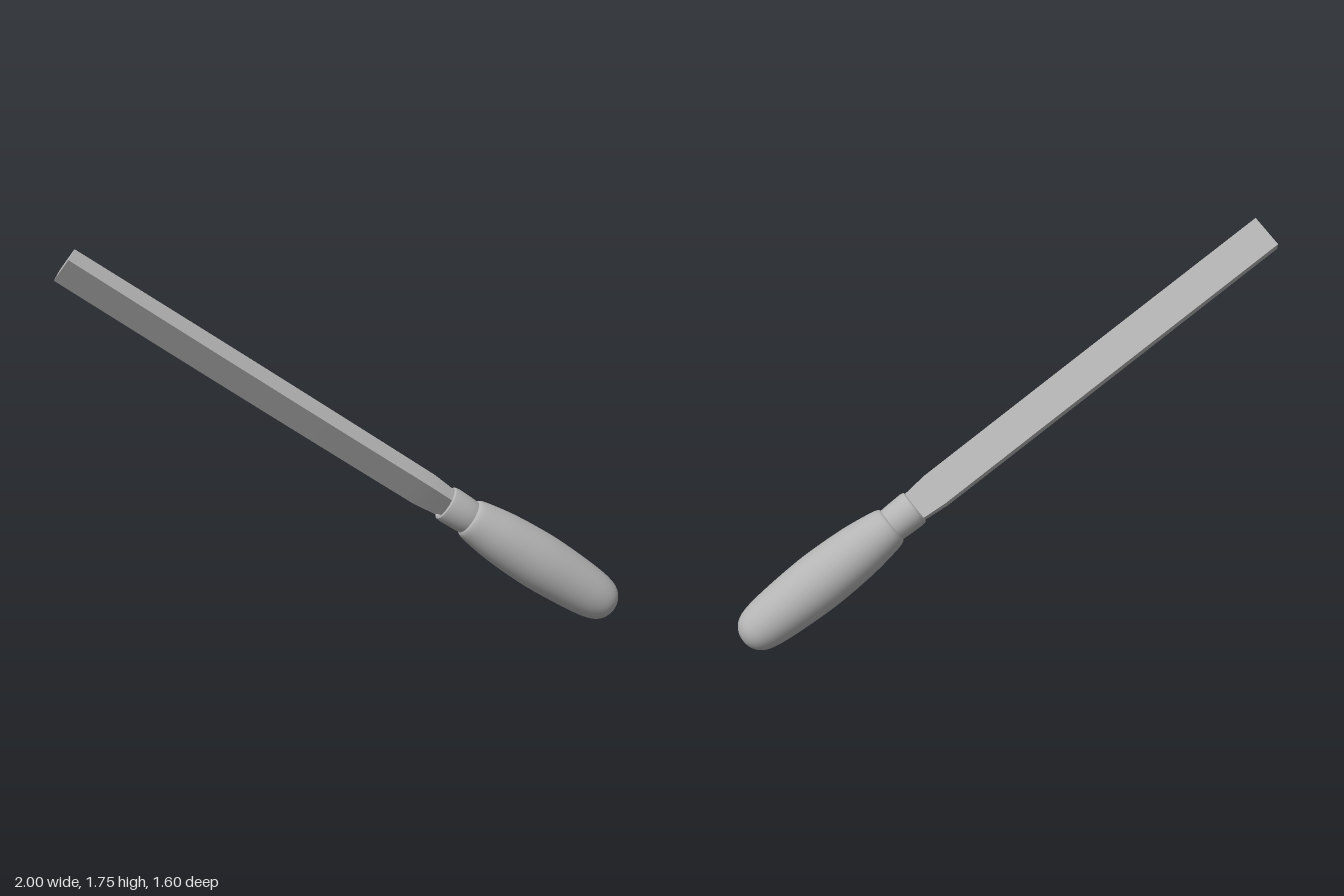
import * as THREE from 'three';
import { toCreasedNormals } from 'three/addons/utils/BufferGeometryUtils.js';

export function createModel() {
  const model = new THREE.Group();
  model.name = 'handFile';
  const grey = new THREE.MeshStandardMaterial({ color: 0xb4b4b4 });
  grey.name = 'plain grey';

  // Tool frame: y runs from the handle's butt to the blade tip, z across the blade's width
  const butt = new THREE.Vector3(0.89, 0.11, 0.69);
  const tip = new THREE.Vector3(-0.97, 1.68, -0.727);
  const length = butt.distanceTo(tip);
  const along = tip.clone().sub(butt).normalize();
  const across = new THREE.Vector3(-0.045, 0.65, 0.757);
  across.addScaledVector(along, -across.dot(along)).normalize();
  const thick = new THREE.Vector3().crossVectors(along, across);
  const tool = new THREE.Group();
  tool.name = 'tool';
  tool.quaternion.setFromRotationMatrix(new THREE.Matrix4().makeBasis(thick, along, across));
  tool.position.copy(butt);
  model.add(tool);

  function part(name, geometry) {
    const mesh = new THREE.Mesh(geometry, grey);
    mesh.name = name;
    tool.add(mesh);
  }

  // Handle: rounded butt, full belly, taper to the collar
  const outline = new THREE.SplineCurve([
    [0, -0.112], [0.045, -0.102], [0.084, -0.07], [0.106, -0.015], [0.119, 0.08],
    [0.129, 0.24], [0.13, 0.36], [0.121, 0.52], [0.105, 0.64], [0.092, 0.7], [0.076, 0.715],
  ].map(([r, y]) => new THREE.Vector2(r, y)));
  const profile = outline.getPoints(44);
  profile[0].x = 0;
  part('handle', new THREE.LatheGeometry(profile, 40));

  // Collar: short ring with a softened rim and a recessed mouth around the blade
  const ring = [
    [0.074, 0.69], [0.08, 0.715], [0.082, 0.75], [0.084, 0.82], [0.081, 0.838],
    [0.073, 0.843], [0.066, 0.838], [0.06, 0.82], [0, 0.815],
  ].map(([r, y]) => new THREE.Vector2(r, y));
  part('collar', toCreasedNormals(new THREE.LatheGeometry(ring, 32), 0.8));

  // Blade: flat bar, slightly thicker in the middle and narrowed where it enters the collar
  const start = 0.79;
  const bladeLength = length - start;
  const blade = new THREE.BoxGeometry(0.072, bladeLength, 0.156, 1, 24, 1);
  blade.translate(0, start + bladeLength / 2, 0);
  const pos = blade.attributes.position;
  for (let i = 0; i < pos.count; i++) {
    const y = pos.getY(i);
    const t = (y - start) / bladeLength;
    const root = THREE.MathUtils.smoothstep(y, start, 0.95);
    pos.setX(i, pos.getX(i) * (1 + 0.1 * Math.sin(Math.PI * t)) * (0.75 + 0.25 * root));
    pos.setZ(i, pos.getZ(i) * (0.8 + 0.2 * root));
  }
  part('blade', toCreasedNormals(blade, 0.6));

  return model;
}
